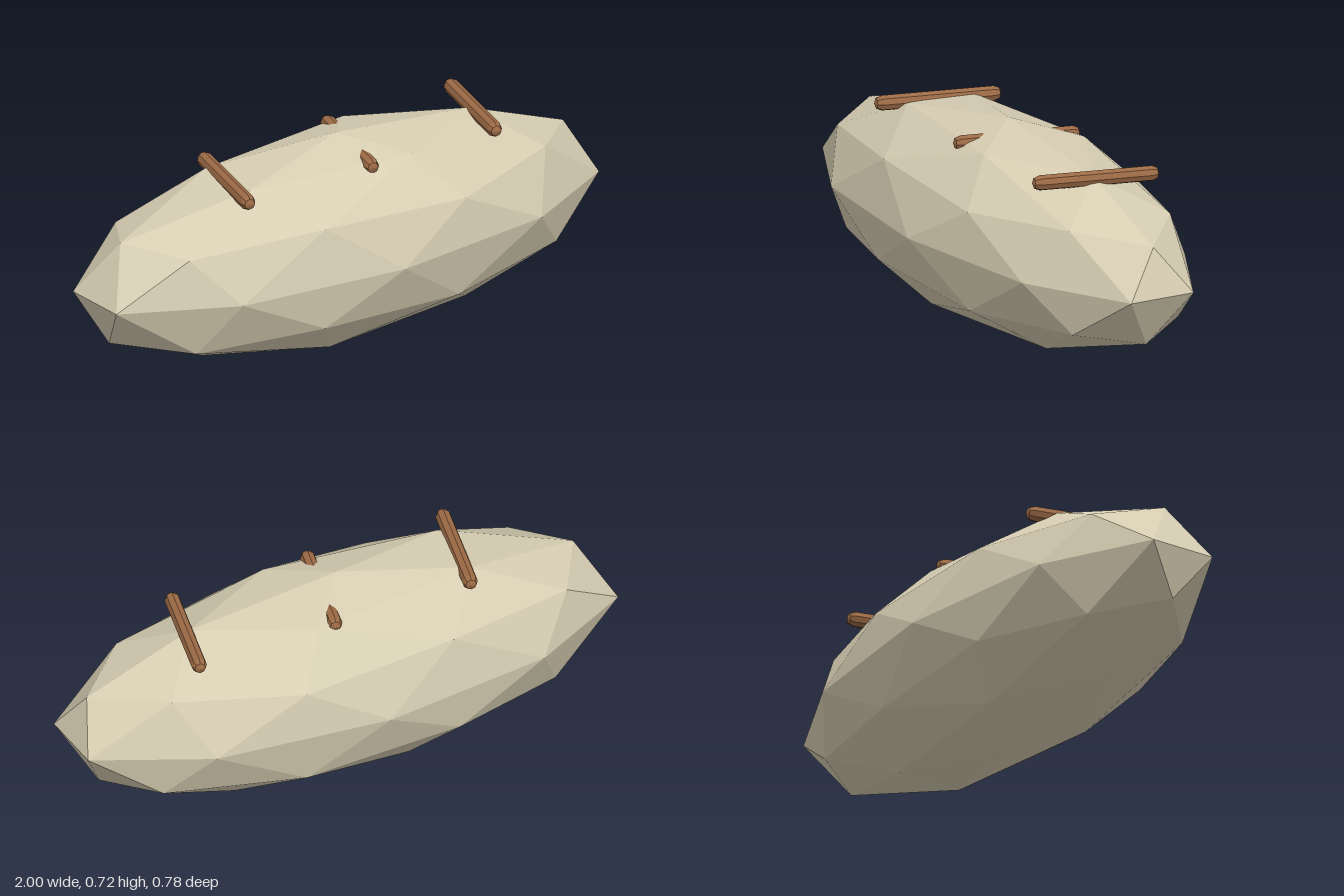
import * as THREE from 'three';

export function createModel() {
  const group = new THREE.Group();
  const stone = new THREE.MeshStandardMaterial({ color: 0xd6cdb2, flatShading: true });
  stone.name = 'pale stone';
  const wood = new THREE.MeshStandardMaterial({ color: 0x9c6a45, flatShading: true });
  wood.name = 'brown wood';

  // Faceted boulder: an icosphere stood on one corner, then stretched along x
  const bodyGeo = new THREE.IcosahedronGeometry(1, 1);
  bodyGeo.rotateZ(-Math.atan(2 / (1 + Math.sqrt(5))));
  bodyGeo.scale(1.0515, 0.36, 0.39);
  bodyGeo.translate(0, 0.36, 0);
  bodyGeo.computeVertexNormals();
  const body = new THREE.Mesh(bodyGeo, stone);
  body.name = 'body';
  group.add(body);

  // Three slanted bars half sunk into the top; only the ends of the middle one show
  const barGeo = new THREE.CapsuleGeometry(0.0265, 0.387, 2, 8);
  barGeo.rotateX(Math.PI / 2);
  ['rightBar', 'middleBar', 'leftBar'].forEach((name, i) => {
    const bar = new THREE.Mesh(barGeo, wood);
    bar.name = name;
    bar.position.set(0.056 + (i - 1) * 0.511, 0.6615, 0);
    bar.rotation.y = -0.26;
    group.add(bar);
  });

  return group;
}
